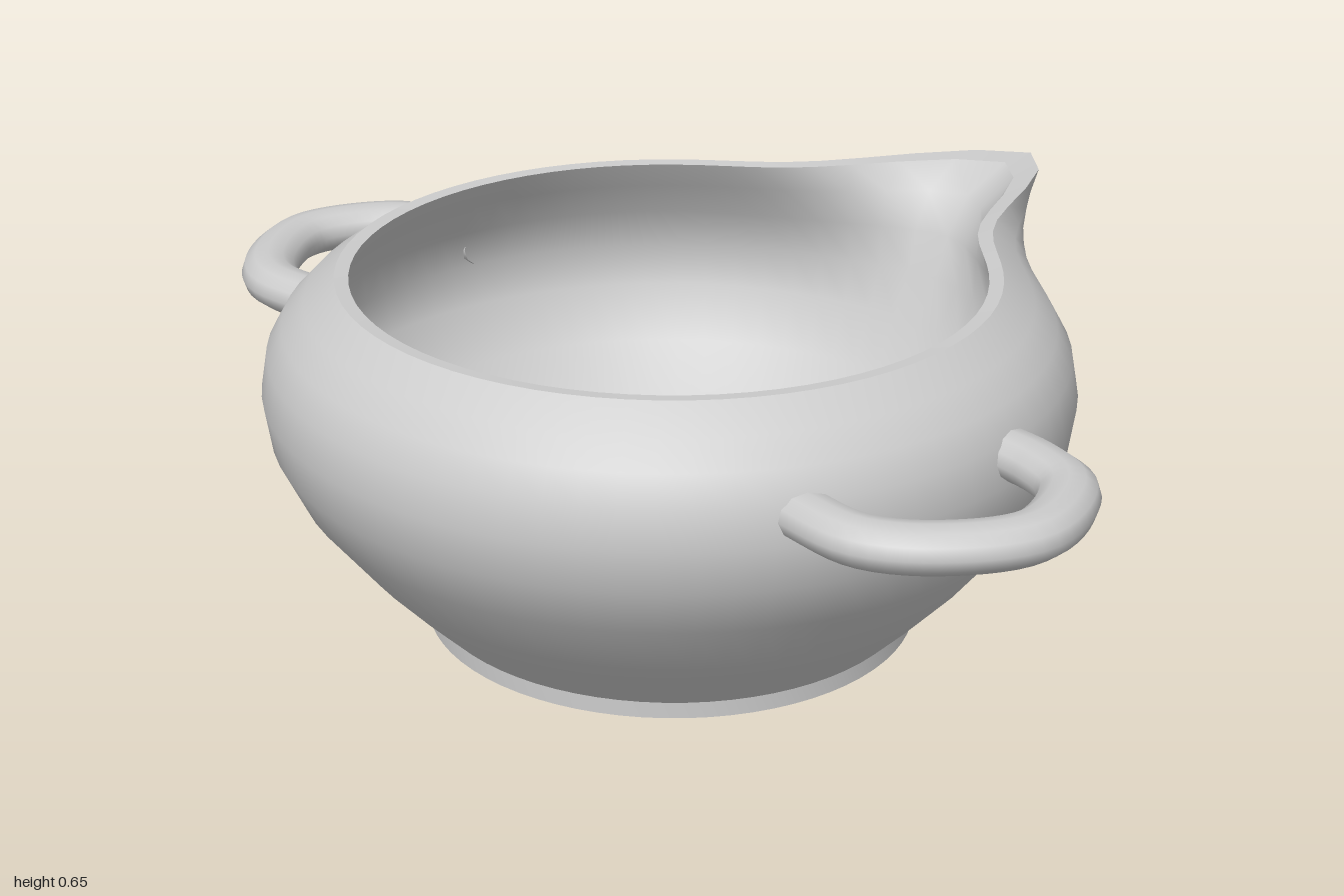
import * as THREE from 'three';
import { mergeVertices } from 'three/addons/utils/BufferGeometryUtils.js';

const material = new THREE.MeshStandardMaterial({ color: 0xcccccc });
const CENTRE_X = -0.13;

// Turned shell from rows of [radius, height, pull], where pull draws the wall out into the spout at +x
function turned(name, rows) {
  const points = rows.map(([r, y]) => new THREE.Vector2(r, y));
  let geometry = new THREE.LatheGeometry(points, 72, -Math.PI / 2);
  const pos = geometry.attributes.position;
  for (let i = 0; i < pos.count; i++) {
    const [r, y, pull = 0] = rows[i % rows.length];
    const angle = Math.atan2(pos.getZ(i), pos.getX(i));
    const bump = Math.exp(-Math.pow(Math.abs(angle) / 0.25, 1.6));
    const radius = r + pull * bump;
    // the lip dips slightly towards the tip of the spout
    const dip = y > 0.6 ? 0.012 * bump : 0;
    pos.setXYZ(i, CENTRE_X + radius * Math.cos(angle), y - dip, 1.03 * radius * Math.sin(angle));
  }
  geometry.deleteAttribute('normal');
  geometry.deleteAttribute('uv');
  geometry = mergeVertices(geometry, 1e-4);
  geometry.computeVertexNormals();
  const mesh = new THREE.Mesh(geometry, material);
  mesh.name = name;
  return mesh;
}

// Flattened loop handle; side is +1 at the front and -1 at the back
function handle(name, side) {
  const path = [
    [-0.425, 0.61], [-0.43, 0.77], [-0.355, 0.875], [-0.22, 0.942],
    [-0.06, 0.875], [-0.02, 0.78], [-0.01, 0.66],
  ].map(([x, z]) => new THREE.Vector3(x, 0, z * side));
  const curve = new THREE.CatmullRomCurve3(path);
  const mesh = new THREE.Mesh(new THREE.TubeGeometry(curve, 36, 0.053, 12), material);
  mesh.name = name;
  mesh.scale.y = 0.78;
  mesh.position.y = 0.492;
  return mesh;
}

export function createModel() {
  const group = new THREE.Group();
  group.name = 'spoutedBowl';

  group.add(turned('outerWall', [
    [0.44, 0.03], [0.5, 0.09, 0.01], [0.565, 0.16, 0.015], [0.66, 0.28, 0.01],
    [0.703, 0.37, 0.03], [0.715, 0.45, 0.08], [0.703, 0.52, 0.15],
    [0.675, 0.57, 0.215], [0.635, 0.613, 0.295], [0.58, 0.655, 0.385],
  ]));

  // Flat lip, kept separate so that its outer edge stays sharp
  group.add(turned('lip', [[0.58, 0.655, 0.385], [0.555, 0.653, 0.335]]));

  group.add(turned('innerWall', [
    [0.555, 0.653, 0.335], [0.585, 0.6, 0.2], [0.63, 0.53, 0.1], [0.66, 0.45, 0.04],
    [0.65, 0.37], [0.6, 0.27], [0.5, 0.16], [0.38, 0.09], [0.2, 0.06], [0, 0.055],
  ]));

  // Low foot ring with a shallow hollow underneath
  group.add(turned('footSide', [[0.44, 0], [0.44, 0.03]]));
  group.add(turned('footRim', [[0.415, 0], [0.44, 0]]));
  group.add(turned('underside', [[0, 0.03], [0.38, 0.025], [0.415, 0]]));

  group.add(handle('frontHandle', 1));
  group.add(handle('backHandle', -1));
  return group;
}
